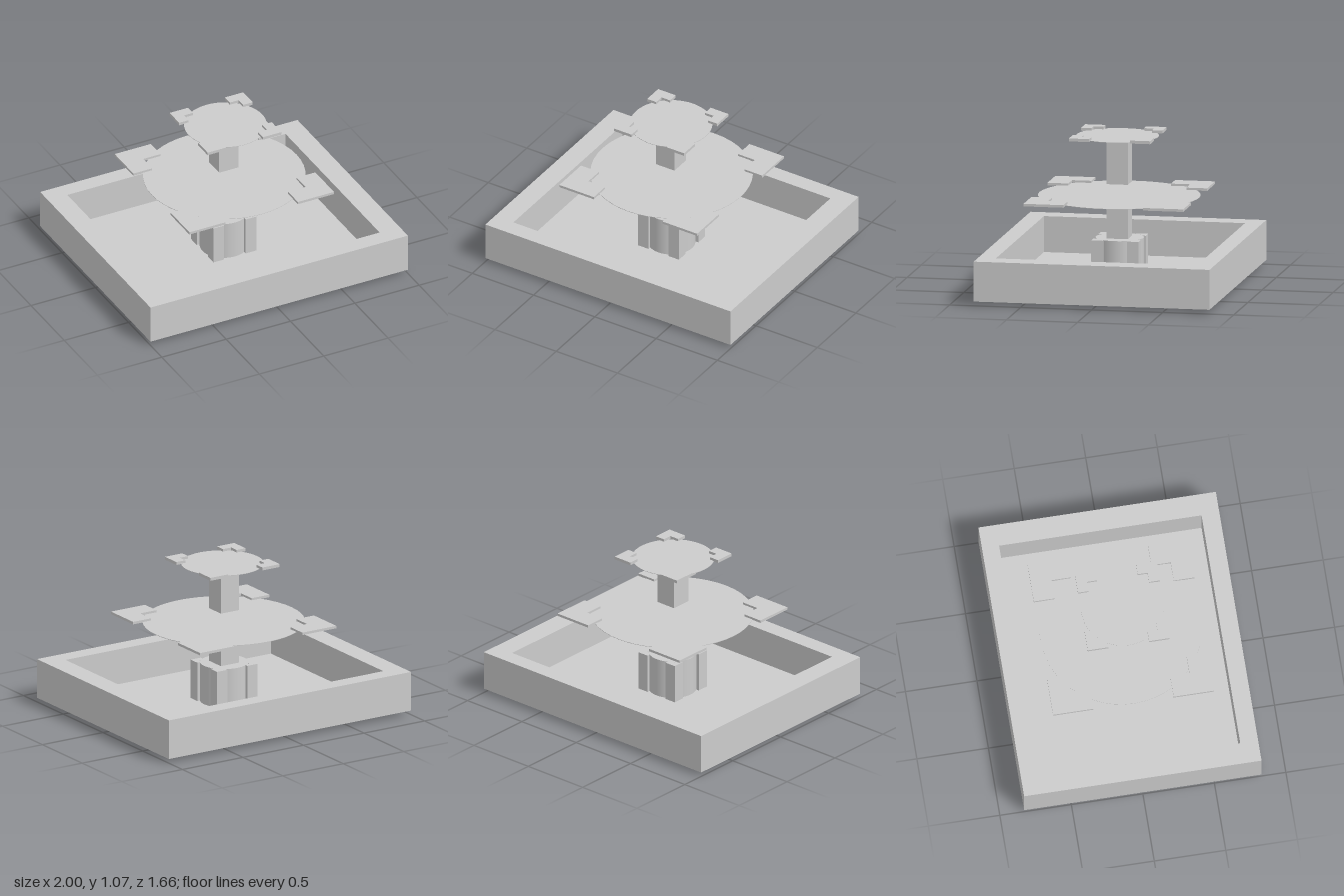
import * as THREE from 'three';

const material = new THREE.MeshStandardMaterial({ color: 0xcccccc });

function addMesh(parent, name, geometry, x = 0, y = 0, z = 0) {
  const mesh = new THREE.Mesh(geometry, material);
  mesh.name = name;
  mesh.position.set(x, y, z);
  parent.add(mesh);
  return mesh;
}

// Box given by its bottom height
function addBox(parent, name, w, y0, y1, d, x = 0, z = 0) {
  return addMesh(parent, name, new THREE.BoxGeometry(w, y1 - y0, d), x, (y0 + y1) / 2, z);
}

// L-shaped corner piece: a square corner with its inner quarter cut away
function cornerGeometry(half, height) {
  const a = half * 0.5, b = half * 0.74;
  const shape = new THREE.Shape([
    [half, half], [a, half], [a, b], [b, b], [b, a], [half, a],
  ].map(([x, y]) => new THREE.Vector2(x, y)));
  const geometry = new THREE.ExtrudeGeometry(shape, { depth: height, bevelEnabled: false });
  return geometry.rotateX(-Math.PI / 2);
}

// Round disc or drum with four corner pieces around it
function addTier(parent, name, half, y, discHeight, cornerHeight, x, z) {
  const tier = new THREE.Group();
  tier.name = name;
  tier.position.set(x, y, z);
  addMesh(tier, name + 'Disc', new THREE.CylinderGeometry(half, half, discHeight, 48), 0, discHeight / 2, 0);
  const corner = cornerGeometry(half, cornerHeight);
  for (let i = 0; i < 4; i++) {
    addMesh(tier, name + 'Corner', corner).rotation.y = i * Math.PI / 2;
  }
  parent.add(tier);
}

export function createModel() {
  const model = new THREE.Group();
  model.name = 'tieredFountain';

  // Basin: floor slab and rectangular rim with an opening
  const rim = new THREE.Shape();
  rim.moveTo(-1, -0.83).lineTo(1, -0.83).lineTo(1, 0.83).lineTo(-1, 0.83).closePath();
  const opening = new THREE.Path();
  opening.moveTo(-0.85, -0.705).lineTo(-0.85, 0.71).lineTo(0.845, 0.71).lineTo(0.845, -0.705).closePath();
  rim.holes.push(opening);
  const rimGeometry = new THREE.ExtrudeGeometry(rim, { depth: 0.28, bevelEnabled: false });
  addMesh(model, 'basinRim', rimGeometry.rotateX(-Math.PI / 2), 0, 0.03, 0);
  addBox(model, 'basinFloor', 1.72, 0.03, 0.058, 1.44);

  // Pedestal passing through the basin floor
  addTier(model, 'pedestal', 0.167, 0, 0.336, 0.336, -0.003, 0.003);

  // Square shafts between the tiers
  addBox(model, 'lowerShaft', 0.15, 0.3, 0.597, 0.15, -0.004, 0.006);
  addBox(model, 'upperShaft', 0.15, 0.717, 1.037, 0.15, -0.004, 0.006);

  // Bowls: thin discs with raised corner brackets
  addTier(model, 'lowerBowl', 0.562, 0.63, 0.003, 0.018, 0, 0.005);
  addTier(model, 'upperBowl', 0.286, 1.047, 0.003, 0.021, 0.003, 0.016);

  return model;
}
